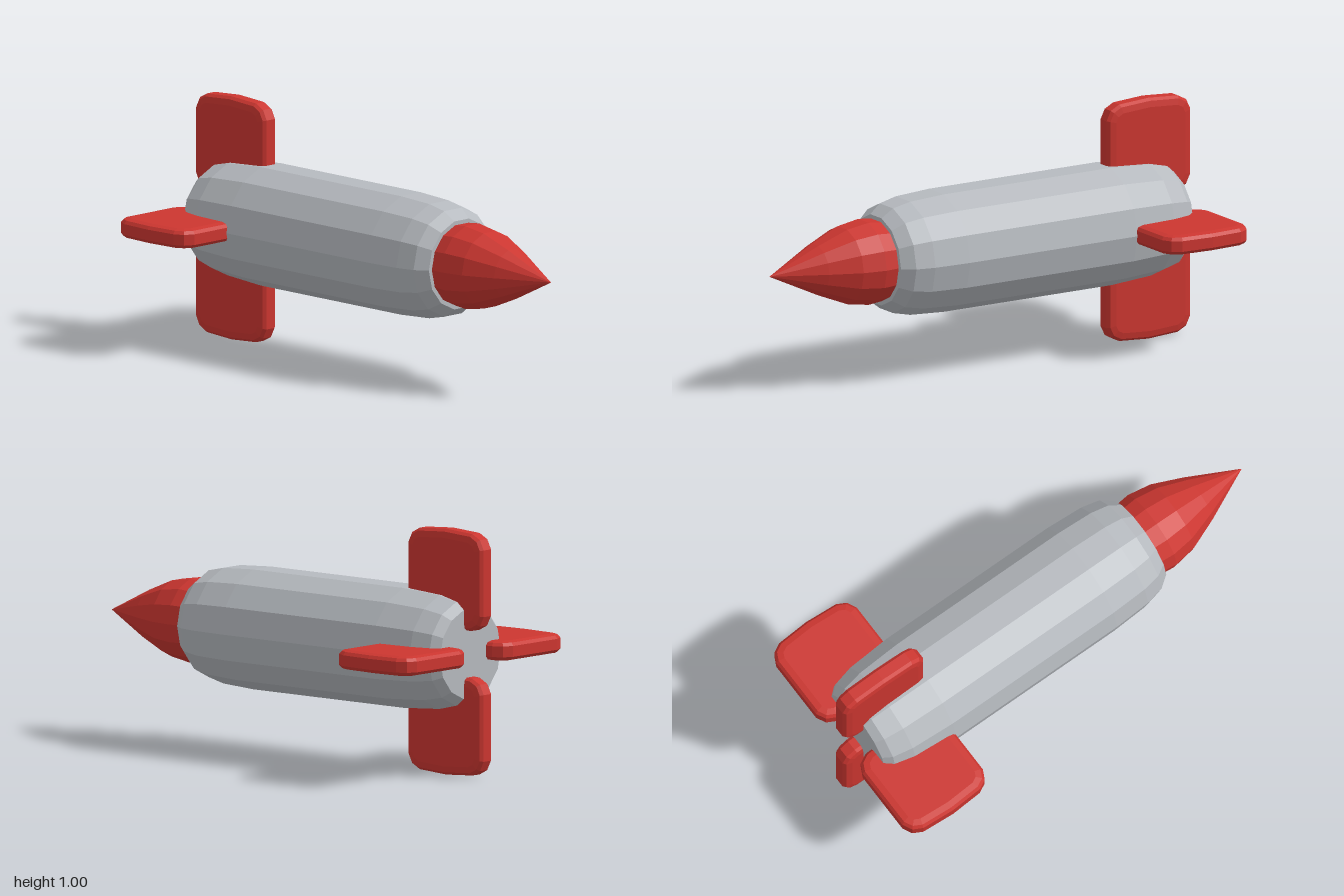
import * as THREE from 'three';

export function createModel() {
  const model = new THREE.Group();
  const red = new THREE.MeshStandardMaterial({ color: 0xcc3630 });
  const grey = new THREE.MeshStandardMaterial({ color: 0xb6babf });
  red.name = 'red';
  grey.name = 'grey';
  red.flatShading = grey.flatShading = true;

  const add = (name, geometry, material) => {
    const mesh = new THREE.Mesh(geometry, material);
    mesh.name = name;
    model.add(mesh);
    return mesh;
  };

  // 14-sided turned parts along z; profile is [radius, z] from back to front
  const turned = (profile) => {
    const points = profile.map(([r, z]) => new THREE.Vector2(r, z));
    return new THREE.LatheGeometry(points, 14, Math.PI / 2)
      .rotateX(Math.PI / 2)
      .translate(0, 0.5, 0);
  };

  add('body', turned([
    [0, -0.91], [0.185, -0.91], [0.215, -0.875], [0.236, -0.79], [0.249, -0.6],
    [0.249, 0.2], [0.24, 0.36], [0.222, 0.44], [0.185, 0.49], [0, 0.49],
  ]), grey);

  add('noseCone', turned([
    [0, 0.42], [0.15, 0.42], [0.167, 0.48], [0.174, 0.55], [0.158, 0.65],
    [0.105, 0.78], [0, 1],
  ]), red);

  // Rounded fin outline: one quarter, mirrored to all four corners
  const quarter = [[0.205, 0], [0.196, 0.14], [0.175, 0.18], [0.135, 0.2]];
  const half = [...quarter, ...quarter.slice(1).reverse().map(([x, y]) => [-x, y])];
  const outline = [...half, ...half.map(([x, y]) => [-x, -y])];
  const finShape = new THREE.Shape(outline.map(([x, y]) => new THREE.Vector2(x, y)));
  const finGeometry = new THREE.ExtrudeGeometry(finShape, {
    depth: 0.044, bevelEnabled: true, bevelThickness: 0.018,
    bevelSize: 0.035, bevelOffset: -0.035, bevelSegments: 2,
  });
  finGeometry.translate(0, 0, -0.022).rotateX(Math.PI / 2).translate(0.293, 0, -0.8);

  // Four tail fins in a cross
  ['leftFin', 'topFin', 'rightFin', 'bottomFin'].forEach((name, i) => {
    const fin = add(name, finGeometry, red);
    fin.position.y = 0.5;
    fin.rotation.z = i * Math.PI / 2;
  });

  return model;
}
